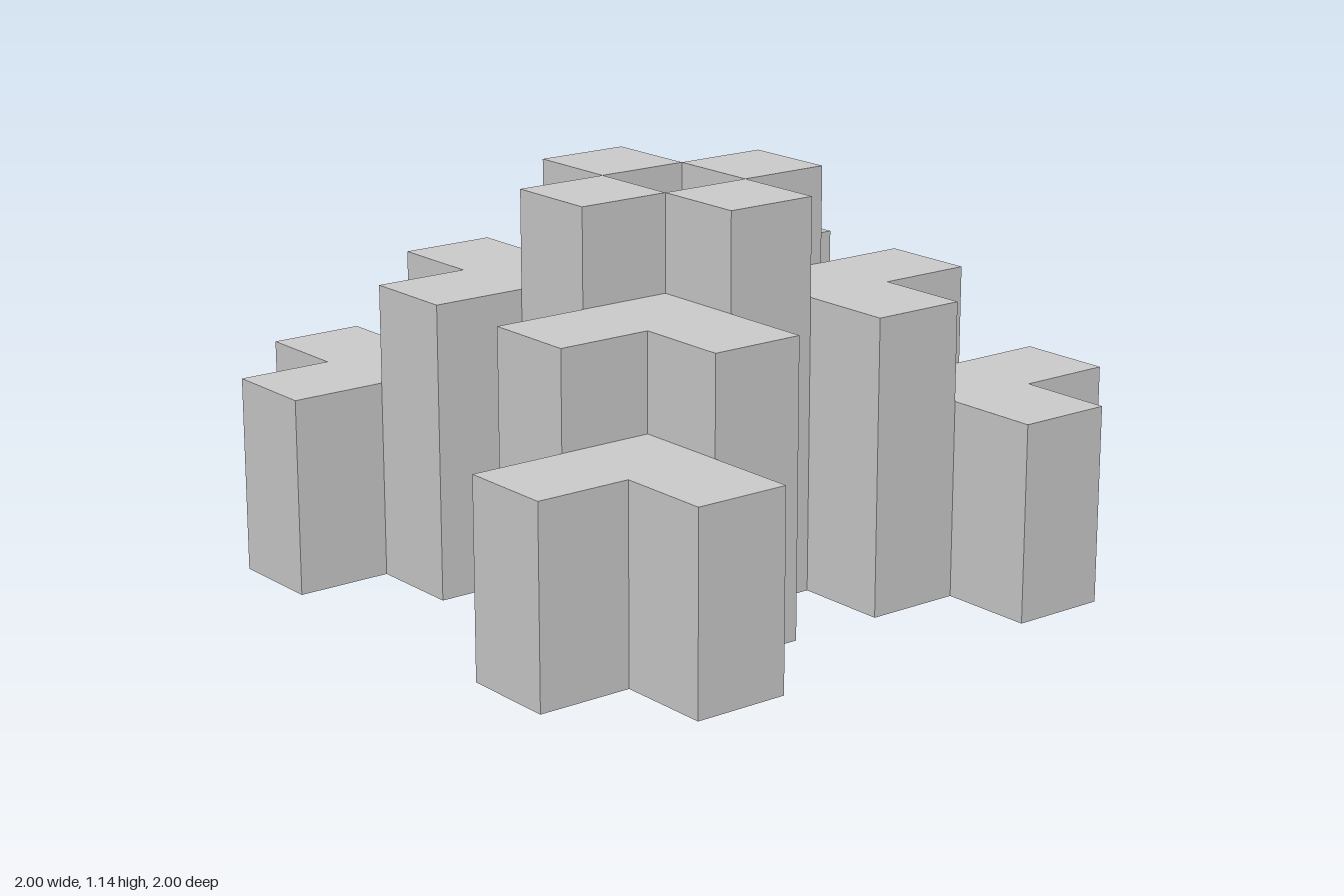
import * as THREE from 'three';

const U = 2 / 7; // one cell of the seven by seven plan

export function createModel() {
  const model = new THREE.Group();
  model.name = 'steppedBlockTower';
  const material = new THREE.MeshStandardMaterial({ color: 0xcccccc, flatShading: true });

  // L-shaped prism of three cells, its inner corner cell on the diagonal at (k, k)
  const lPrism = (k, height) => {
    const a = (k - 0.5) * U, b = a + U, c = b + U;
    const shape = new THREE.Shape(
      [[a, a], [c, a], [c, b], [b, b], [b, c], [a, c]].map(([x, y]) => new THREE.Vector2(x, y))
    );
    return new THREE.ExtrudeGeometry(shape, { depth: height * U, bevelEnabled: false })
      .rotateX(-Math.PI / 2);
  };

  // square column, `offset` cells out along x
  const column = (offset, height) =>
    new THREE.BoxGeometry(U, height * U, U).translate(offset * U, height * U / 2, 0);

  const add = (parent, name, geometry) => {
    const mesh = new THREE.Mesh(geometry, material);
    mesh.name = name;
    parent.add(mesh);
  };

  // recessed centre column
  add(model, 'core', column(0, 3));

  // tall tower, middle step and outer step, repeated on four sides
  const tower = column(1, 4);
  const middle = lPrism(1, 3);
  const outer = lPrism(2, 2);
  for (let i = 0; i < 4; i++) {
    const quarter = new THREE.Group();
    quarter.name = `quarter${i + 1}`;
    add(quarter, 'tallTower', tower);
    add(quarter, 'middleStep', middle);
    add(quarter, 'outerStep', outer);
    quarter.rotation.y = i * Math.PI / 2;
    model.add(quarter);
  }
  return model;
}
